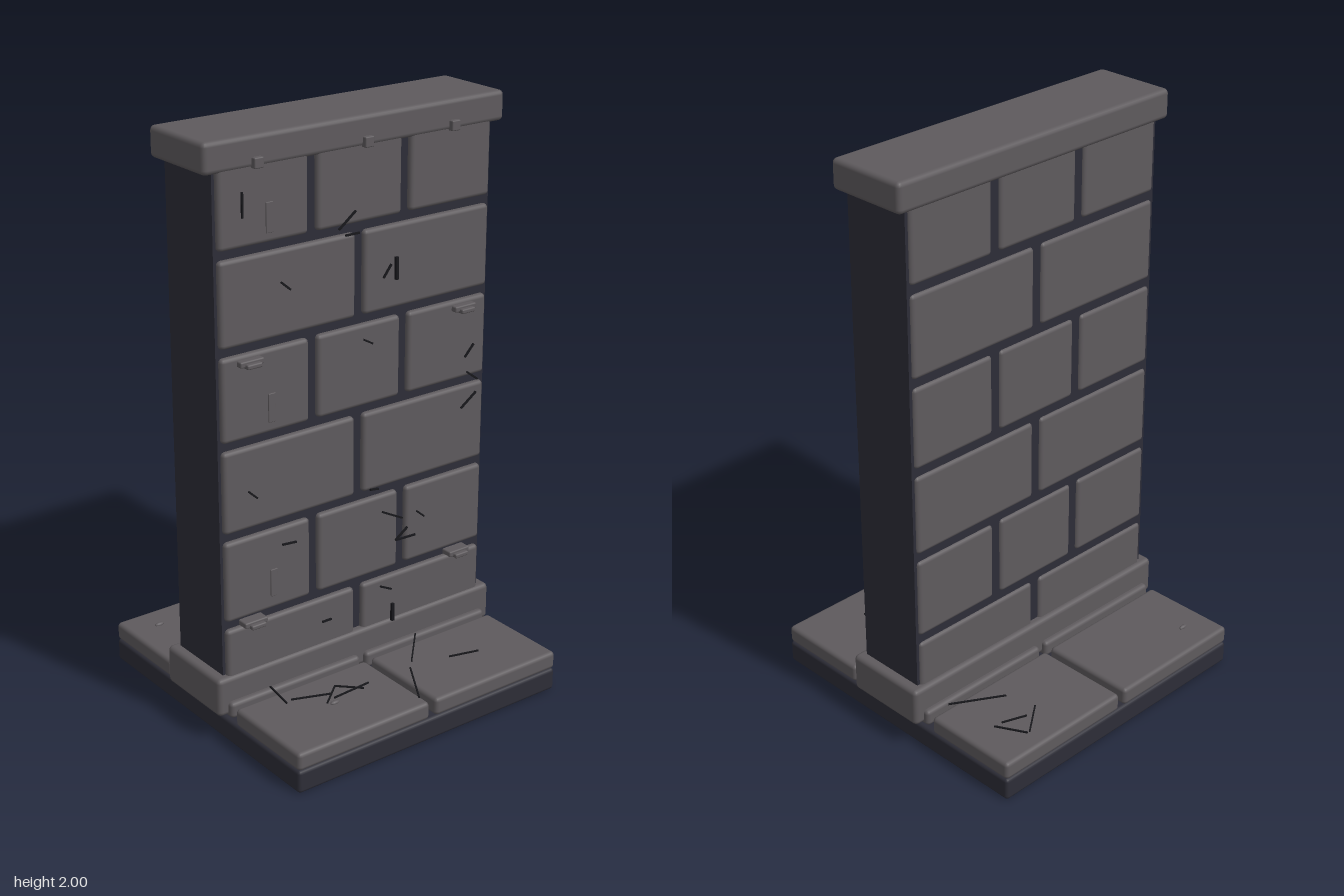
import * as THREE from 'three';
import { RoundedBoxGeometry } from 'three/addons/geometries/RoundedBoxGeometry.js';

const stone = new THREE.MeshStandardMaterial({ color: 0x5e5a5d });
stone.name = 'stone';
const mortar = new THREE.MeshStandardMaterial({ color: 0x2d2d37 });
mortar.name = 'dark mortar';
const crackDark = new THREE.MeshStandardMaterial({ color: 0x17171b });
crackDark.name = 'crack black';

export function createModel() {
  const model = new THREE.Group();
  model.name = 'stoneWall';

  // Rounded block given by its min and max corners
  function block(name, mat, [x0, y0, z0], [x1, y1, z1], r = 0.014) {
    const geo = new RoundedBoxGeometry(x1 - x0, y1 - y0, z1 - z0, 2, r);
    const mesh = new THREE.Mesh(geo, mat);
    mesh.name = name;
    mesh.position.set((x0 + x1) / 2, (y0 + y1) / 2, (z0 + z1) / 2);
    model.add(mesh);
    return mesh;
  }

  // Thin sliver between two points
  function crack(name, a, b, width = 0.006) {
    const p = new THREE.Vector3(...a), q = new THREE.Vector3(...b);
    const mesh = new THREE.Mesh(new THREE.BoxGeometry(p.distanceTo(q), width, width), crackDark);
    mesh.name = name;
    mesh.position.copy(p).add(q).multiplyScalar(0.5);
    mesh.quaternion.setFromUnitVectors(new THREE.Vector3(1, 0, 0), q.sub(p).normalize());
    model.add(mesh);
  }

  // Floor: dark slab with three rows of two paving tiles
  block('baseSlab', mortar, [-0.54, 0, -0.54], [0.54, 0.08, 0.54], 0.012);
  for (const [z0, z1, lift] of [[-0.54, -0.192, 0], [-0.173, 0.173, 0.012], [0.192, 0.54, 0]]) {
    for (const [x0, x1] of [[-0.54, -0.013], [0.013, 0.54]]) {
      block('floorTile', stone, [x0, 0.08 + lift, z0], [x1, 0.143 + lift / 2, z1]);
    }
  }

  // Wall core, plinth and capstone
  const core = new THREE.Mesh(new THREE.BoxGeometry(1.08, 1.83, 0.25), mortar);
  core.name = 'wallCore';
  core.position.y = 1.025;
  model.add(core);
  block('plinth', stone, [-0.575, 0.1, -0.153], [0.575, 0.235, 0.153], 0.016);
  block('capstone', stone, [-0.58, 1.9, -0.147], [0.58, 2, 0.147], 0.016);

  // Brick courses on both faces, alternating two and three bricks
  const gap = 0.034, span = 1.06;
  for (let row = 0; row < 6; row++) {
    const count = row % 2 ? 3 : 2;
    const w = (span - gap * (count - 1)) / count;
    const y = 0.118 + row * 0.3085;
    for (let i = 0; i < count; i++) {
      const x = -span / 2 + i * (w + gap);
      block('frontBrick', stone, [x, y, 0.09], [x + w, y + 0.279, 0.143]);
      block('backBrick', stone, [x, y, -0.135], [x + w, y + 0.279, -0.09]);
    }
  }

  // Small brackets on the front face
  for (const y of [0.405, 1.297]) {
    for (const x of [-0.43, 0.425]) {
      block('bracket', stone, [x - 0.044, y - 0.008, 0.12], [x + 0.044, y + 0.012, 0.165], 0.005);
      block('bracketLip', stone, [x - 0.028, y - 0.012, 0.14], [x + 0.028, y + 0.004, 0.18], 0.005);
    }
  }

  // Clips under the front edge of the capstone
  for (const x of [-0.393, 0.02, 0.367]) {
    block('capClip', stone, [x - 0.017, 1.9, 0.13], [x + 0.017, 1.934, 0.163], 0.004);
  }

  // Narrow raised strips on the left bricks
  for (const y of [0.52, 1.127, 1.74]) {
    block('strip', stone, [-0.36, y - 0.048, 0.138], [-0.333, y + 0.048, 0.147], 0.002);
  }

  // Cracks on the wall: x, y to x, y, optional width
  const wallCracks = [
    [-0.458, 1.84, -0.458, 1.76], [-0.1, 1.66, -0.035, 1.71], [-0.075, 1.637, -0.02, 1.637],
    [-0.32, 1.535, -0.285, 1.505], [0.077, 1.47, 0.108, 1.51], [0.13, 1.53, 0.13, 1.455, 0.01],
    [0, 1.28, 0.035, 1.26], [0.426, 1.125, 0.463, 1.165], [0.437, 1.07, 0.484, 1.035],
    [0.415, 0.945, 0.479, 0.99], [-0.452, 0.875, -0.42, 0.845], [0.03, 0.75, 0.065, 0.745],
    [-0.325, 0.655, -0.27, 0.65], [0.082, 0.655, 0.167, 0.61], [0.23, 0.617, 0.262, 0.59],
    [0.14, 0.535, 0.19, 0.57], [0.14, 0.535, 0.225, 0.532], [-0.167, 0.325, -0.13, 0.325],
    [0.077, 0.38, 0.124, 0.357], [0.13, 0.3, 0.13, 0.235, 0.01],
  ];
  for (const [x0, y0, x1, y1, w] of wallCracks) crack('wallCrack', [x0, y0, 0.163], [x1, y1, 0.163], w);

  // Cracks on the floor: x, z to x, z
  const floorCracks = [
    [0.27, -0.398, 0.379, -0.481], [0.388, -0.481, 0.441, -0.382], [0.326, -0.416, 0.41, -0.385],
    [0.298, -0.292, 0.466, -0.193], [-0.4, 0.283, -0.382, 0.165], [-0.376, 0.273, -0.252, 0.32],
    [-0.295, 0.36, -0.211, 0.289], [-0.211, 0.289, -0.143, 0.357], [-0.258, 0.348, -0.109, 0.338],
    [-0.037, 0.512, 0.062, 0.345], [0.093, 0.314, 0.224, 0.174], [0.214, 0.366, 0.32, 0.394],
  ];
  for (const [x0, z0, x1, z1] of floorCracks) crack('floorCrack', [x0, 0.157, z0], [x1, 0.157, z1], 0.005);

  // Flat pebbles on the floor
  for (const [x, z] of [[-0.43, -0.435], [-0.262, 0.357]]) {
    const pebble = new THREE.Mesh(new THREE.SphereGeometry(0.018, 12, 8), stone);
    pebble.name = 'pebble';
    pebble.scale.set(1, 0.4, 0.45);
    pebble.position.set(x, 0.145, z);
    model.add(pebble);
  }

  return model;
}
